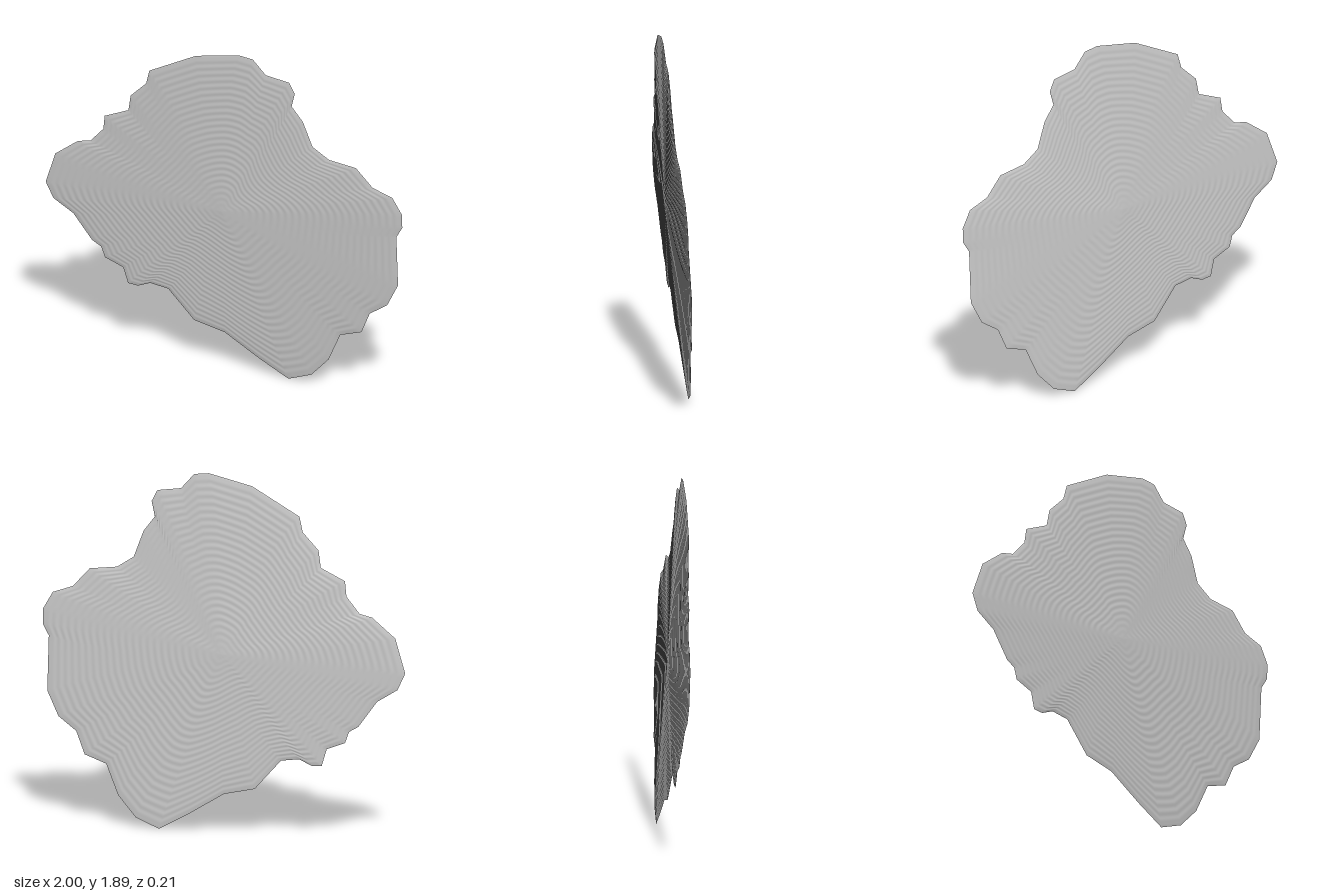
import * as THREE from 'three';

// Ragged outline, clockwise from the top as seen from the front (x, y)
const OUTLINE = [
  [0.11, 1.89], [0.19, 1.88], [0.26, 1.8], [0.39, 1.78], [0.42, 1.72], [0.4, 1.64], [0.46, 1.56], [0.51, 1.42],
  [0.6, 1.36], [0.75, 1.34], [0.84, 1.24], [0.95, 1.2], [1.0, 1.11], [1.0, 1.03], [0.965, 0.97], [0.965, 0.68],
  [0.9, 0.55], [0.8, 0.48], [0.75, 0.36], [0.63, 0.32], [0.56, 0.16], [0.46, 0.05], [0.33, 0], [0.17, 0.09],
  [-0.02, 0.21], [-0.19, 0.25], [-0.33, 0.41], [-0.43, 0.425], [-0.5, 0.395], [-0.555, 0.4], [-0.58, 0.49],
  [-0.68, 0.53], [-0.7, 0.59], [-0.75, 0.62], [-0.85, 0.76], [-0.96, 0.83], [-1.0, 0.92], [-0.94, 1.1],
  [-0.81, 1.2], [-0.74, 1.215], [-0.665, 1.3], [-0.655, 1.38], [-0.52, 1.44], [-0.505, 1.53], [-0.415, 1.62],
  [-0.395, 1.7], [-0.13, 1.84],
].map(([x, y]) => new THREE.Vector2(x, y));
const CENTRE = new THREE.Vector2(0, 0.95);
const RINGS = 150, SUB = 4, WAVES = 25, SMOOTH = 6;

// Subdivided rim, and a softened copy that the inner rings follow
const COUNT = OUTLINE.length * SUB;
const rim = Array.from({ length: COUNT }, (_, i) => {
  const k = Math.floor(i / SUB);
  return OUTLINE[k].clone().lerp(OUTLINE[(k + 1) % OUTLINE.length], (i % SUB) / SUB);
});
const softRim = rim.map((_, i) => {
  const sum = new THREE.Vector2();
  for (let k = -SMOOTH; k <= SMOOTH; k++) sum.add(rim[(i + k + COUNT) % COUNT]);
  return sum.divideScalar(2 * SMOOTH + 1);
});

// One rippled, shallow conical face with a rounded rim; side is +1 for the front, -1 for the back
function makeFace(side) {
  const pos = [], index = [];
  for (let r = 0; r <= RINGS; r++) {
    const t = r / RINGS;
    const dome = 0.024 * (1 - t) + 0.007 * Math.sqrt(1 - t ** 8);
    const ripple = 0.0009 * Math.sin(t * WAVES * Math.PI * 2) * Math.min(1, (1 - t) * 20, t * 5);
    for (let i = 0; i < COUNT; i++) {
      const p = softRim[i].clone().lerp(rim[i], t ** 2.5).sub(CENTRE).multiplyScalar(t).add(CENTRE);
      // the slab leans along a tilted plane
      const plane = -0.092 * p.x + 0.064 * (p.y - 0.92) + 0.003;
      pos.push(p.x, p.y, plane + side * (dome + ripple));
    }
  }
  for (let r = 0; r < RINGS; r++) {
    for (let i = 0; i < COUNT; i++) {
      const j = (i + 1) % COUNT;
      const a = r * COUNT + i, b = r * COUNT + j, c = a + COUNT, d = b + COUNT;
      const tris = r === 0 ? [[a, d, c]] : [[a, b, d], [a, d, c]];
      for (const [p, q, s] of tris) index.push(...(side > 0 ? [p, q, s] : [p, s, q]));
    }
  }
  const geo = new THREE.BufferGeometry();
  geo.setAttribute('position', new THREE.Float32BufferAttribute(pos, 3));
  geo.setIndex(index);
  geo.computeVertexNormals();
  return geo;
}

export function createModel() {
  const group = new THREE.Group();
  group.name = 'stoneFlake';
  const stone = new THREE.MeshStandardMaterial({ color: 0xc8c8c8 });
  stone.name = 'stone grey';
  for (const [name, side] of [['frontFace', 1], ['backFace', -1]]) {
    const mesh = new THREE.Mesh(makeFace(side), stone);
    mesh.name = name;
    group.add(mesh);
  }
  return group;
}
